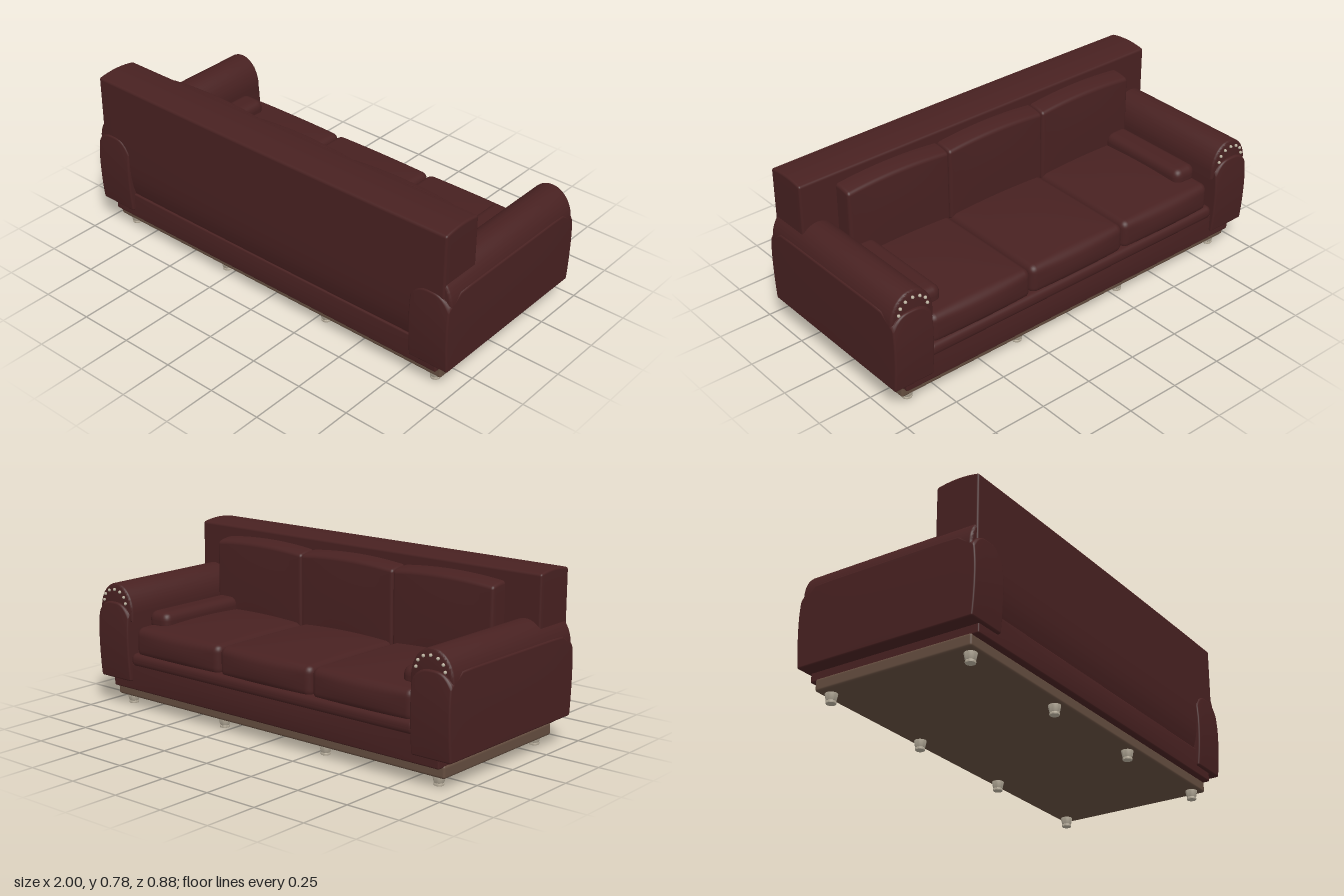
import * as THREE from 'three';
import { mergeVertices, toCreasedNormals } from 'three/addons/utils/BufferGeometryUtils.js';

const material = (name, color) => {
  const m = new THREE.MeshStandardMaterial({ color });
  m.name = name;
  return m;
};

// Rounded box between two corners; bulge swells each pair of faces, shape(p, u, v, w) bends it further.
function softBox(min, max, r, bulge = [0, 0, 0], shape = null) {
  const K = 4, M = 12, N = 2 * K + M;
  const size = max.map((v, i) => v - min[i]);
  const half = size.map((s) => s / 2);
  const geo = new THREE.BoxGeometry(1, 1, 1, N, N, N);
  geo.deleteAttribute('uv');
  geo.deleteAttribute('normal');
  const pos = geo.attributes.position;
  const place = (t, h) => {
    const i = Math.round((t + 0.5) * N);
    if (i <= K) return -h + (r * i) / K;
    if (i >= N - K) return h - (r * (N - i)) / K;
    return -h + r + ((i - K) / M) * 2 * (h - r);
  };
  const p = new THREE.Vector3(), core = new THREE.Vector3();
  for (let i = 0; i < pos.count; i++) {
    p.set(place(pos.getX(i), half[0]), place(pos.getY(i), half[1]), place(pos.getZ(i), half[2]));
    core.set(...p.toArray().map((c, a) => THREE.MathUtils.clamp(c, r - half[a], half[a] - r)));
    p.sub(core).setLength(r).add(core);
    const [u, v, w] = [p.x / half[0], p.y / half[1], p.z / half[2]];
    const fall = (a) => 1 - a * a;
    p.x += bulge[0] * u * fall(v) * fall(w);
    p.y += bulge[1] * v * fall(u) * fall(w);
    p.z += bulge[2] * w * fall(u) * fall(v);
    if (shape) shape(p, u, v, w);
    pos.setXYZ(i, p.x, p.y, p.z);
  }
  const out = mergeVertices(geo, 1e-5);
  out.translate(...min.map((v, i) => (v + max[i]) / 2));
  out.computeVertexNormals();
  return out;
}

export function createModel() {
  const sofa = new THREE.Group();
  sofa.name = 'sofa';
  const leather = material('oxblood leather', 0x482121);
  const wood = material('brown wood', 0x644d3f);
  const metal = material('pale metal', 0xb8ae9c);

  const add = (name, geo, mat, parent = sofa) => {
    const mesh = new THREE.Mesh(geo, mat);
    mesh.name = name;
    parent.add(mesh);
    return mesh;
  };

  // Plinth and eight turned feet
  add('plinth', softBox([-0.935, 0.043, -0.382], [0.935, 0.098, 0.382], 0.01), wood);
  const footProfile = [[0, 0], [0.021, 0], [0.022, 0.003], [0.022, 0.008], [0.02, 0.011],
    [0.022, 0.015], [0.027, 0.04], [0.027, 0.05]].map(([x, y]) => new THREE.Vector2(x, y));
  const footGeo = toCreasedNormals(new THREE.LatheGeometry(footProfile, 20), 0.7);
  for (const x of [-0.88, -0.293, 0.293, 0.88]) {
    for (const z of [-0.34, 0.34]) add('foot', footGeo, metal).position.set(x, 0, z);
  }

  // Upholstered base with a padded front rail
  add('base', softBox([-0.93, 0.09, -0.412], [0.93, 0.215, 0.412], 0.007, [0, 0, 0.006]), leather);
  add('frontRail', softBox([-0.81, 0.2, -0.42], [0.81, 0.262, -0.3], 0.026), leather);

  // Backrest, crowned along the top, bowed at the back and tucked in at the bottom
  add('backrest', softBox([-0.965, 0.205, 0.222], [0.965, 0.767, 0.426], 0.01, [0, 0, 0],
    (p, u, v, w) => {
      if (v > 0) p.y += 0.012 * v * (1 - w * w);
      if (w > 0 && v < 0) p.z -= 0.03 * w * v ** 4;
      if (w > 0) p.z += 0.006 * w * (1 - u * u);
    }), leather);

  // Three seat cushions and three back cushions
  const step = 0.526;
  for (let i = -1; i <= 1; i++) {
    const a = (i - 0.5) * step + 0.001, b = (i + 0.5) * step - 0.001;
    add('seatCushion', softBox([a, 0.245, -0.403], [b, 0.383, 0.23], 0.032, [0, 0.022, 0.014]), leather);
    // Tops crowned across and sloping down to the front
    add('backCushion', softBox([a, 0.36, 0.137], [b, 0.716, 0.3], 0.014, [0, 0, 0.006],
      (p, u, v, w) => {
        if (v > 0) p.y += v * (0.016 * (1 - u * u) - (w < 0 ? 0.014 * w * w : 0));
      }), leather);
  }

  // Arms, mirrored left and right
  const archX = 0.893, archY = 0.446, bevel = 0.012;
  const arch = new THREE.Shape();
  arch.moveTo(-0.092, 0.42);
  arch.lineTo(0.092, 0.42);
  arch.lineTo(0.092, archY);
  arch.absellipse(0, archY, 0.092, 0.117, 0, Math.PI, false);
  arch.closePath();
  const rollGeo = toCreasedNormals(new THREE.ExtrudeGeometry(arch, {
    depth: 0.84 - 2 * bevel, bevelEnabled: true, bevelSize: bevel, bevelThickness: bevel,
    bevelSegments: 4, curveSegments: 28,
  }).translate(0, 0, bevel - 0.42), 0.6);
  const studGeo = new THREE.SphereGeometry(0.0072, 12, 8);

  for (const side of [-1, 1]) {
    const arm = new THREE.Group();
    arm.name = side > 0 ? 'leftArm' : 'rightArm';
    sofa.add(arm);
    const lo = side > 0 ? 0.803 : -0.997, hi = side > 0 ? 0.997 : -0.803;
    // Body with swollen ends and arched end panels
    add('armBody', softBox([lo, 0.13, -0.427], [hi, 0.49, 0.427], 0.008, [0.003, 0, 0],
      (p, u, v, w) => {
        p.z += w * (0.011 * (1 - v * v) * (1 - 0.2 * u * u) + 0.0025 * (v + 1));
        if (v > 0) p.y -= 0.07 * v * Math.abs(u) ** 3 * Math.abs(w) ** 16;
      }), leather, arm);
    add('armRoll', rollGeo, leather, arm).position.x = side * archX;

    // Studs around the arch of the arm front
    for (let i = 0; i < 7; i++) {
      const t = (i / 6) * Math.PI;
      add('stud', studGeo, metal, arm)
        .position.set(side * archX + 0.07 * Math.cos(t), 0.492 + 0.056 * Math.sin(t), -0.427);
    }

    // Small bolster lying beside the arm
    const b0 = side > 0 ? 0.668 : -0.79, b1 = side > 0 ? 0.79 : -0.668;
    add('bolster', softBox([b0, 0.355, -0.322], [b1, 0.448, 0.16], 0.036), leather, arm);
  }
  return sofa;
}
